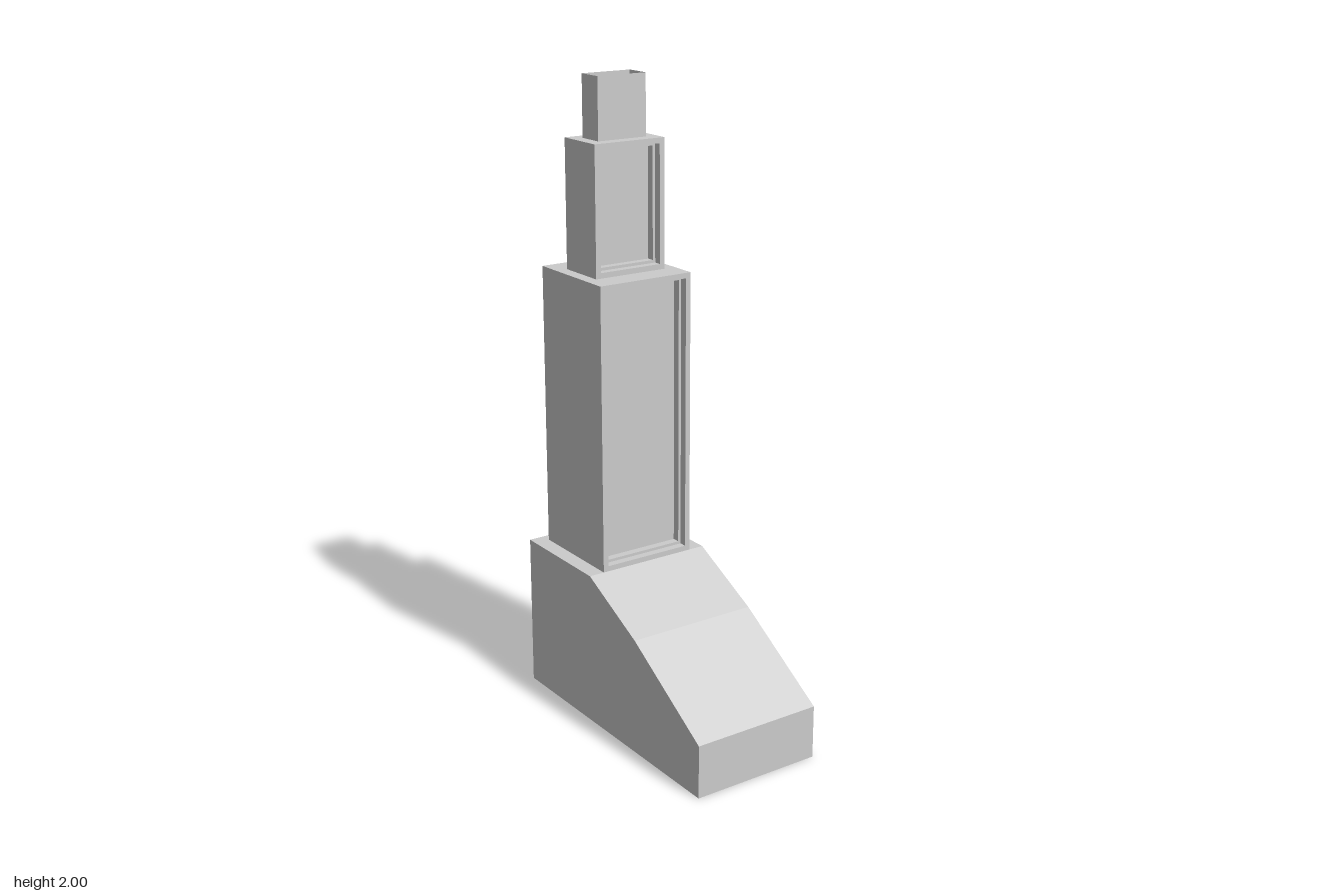
import * as THREE from 'three';

const material = new THREE.MeshStandardMaterial({ color: 0xcccccc, flatShading: true });
const openMaterial = new THREE.MeshStandardMaterial({ color: 0xcccccc, flatShading: true, side: THREE.DoubleSide });

function addMesh(parent, name, geometry, mat = material) {
  const mesh = new THREE.Mesh(geometry, mat);
  mesh.name = name;
  parent.add(mesh);
  return mesh;
}

function rectangle(w, h, PathType = THREE.Shape) {
  return new PathType([[-1, -1], [1, -1], [1, 1], [-1, 1]]
    .map(([x, y]) => new THREE.Vector2(x * w / 2, y * h / 2)));
}

// Rectangular ring extruded along z and centred on the origin
function ring(w, h, depth, inset, outset = 0) {
  const shape = rectangle(w - 2 * outset, h - 2 * outset);
  shape.holes.push(rectangle(w - 2 * inset, h - 2 * inset, THREE.Path));
  return new THREE.ExtrudeGeometry(shape, { depth, bevelEnabled: false }).translate(0, 0, -depth / 2);
}

// Tower block with a stepped recess in its front and back faces
function recessedBlock(name, w, d, y0, y1, z) {
  const h = y1 - y0, outer = 0.017, inner = 0.026;
  const block = new THREE.Group();
  block.name = name;
  block.position.set(0, (y0 + y1) / 2, z);
  addMesh(block, 'outerFrame', ring(w, h, d, outer));
  addMesh(block, 'innerFrame', ring(w, h, d - 0.05, inner, outer));
  addMesh(block, 'recessedPanel', new THREE.BoxGeometry(w - 2 * inner, h - 2 * inner, d - 0.1));
  return block;
}

export function createModel() {
  const model = new THREE.Group();
  model.name = 'steppedTower';

  // Base with a two-part slope, drawn from the side and extruded across x
  const profile = [[0.47, 0], [0.47, 0.17], [0.14, 0.375], [-0.107, 0.497], [-0.47, 0.497], [-0.47, 0]];
  const side = new THREE.Shape(profile.map(([z, y]) => new THREE.Vector2(-z, y)));
  const width = 0.428;
  addMesh(model, 'slopedBase', new THREE.ExtrudeGeometry(side, { depth: width, bevelEnabled: false })
    .translate(0, 0, -width / 2).rotateY(Math.PI / 2));

  // Two stacked tower blocks
  model.add(recessedBlock('lowerTower', 0.326, 0.33, 0.497, 1.407, -0.272));
  model.add(recessedBlock('upperTower', 0.248, 0.166, 1.407, 1.81, -0.273));

  // Thin open-topped chimney
  const chimney = new THREE.Group();
  chimney.name = 'chimney';
  chimney.position.set(0, 1.905, -0.274);
  model.add(chimney);
  const w = 0.17, d = 0.086, h = 0.19;
  for (const s of [1, -1]) {
    addMesh(chimney, s > 0 ? 'frontWall' : 'backWall', new THREE.PlaneGeometry(w, h)
      .rotateY(s > 0 ? 0 : Math.PI).translate(0, 0, s * d / 2), openMaterial);
    addMesh(chimney, s > 0 ? 'leftWall' : 'rightWall', new THREE.PlaneGeometry(d, h)
      .rotateY(s * Math.PI / 2).translate(s * w / 2, 0, 0), openMaterial);
  }
  return model;
}
